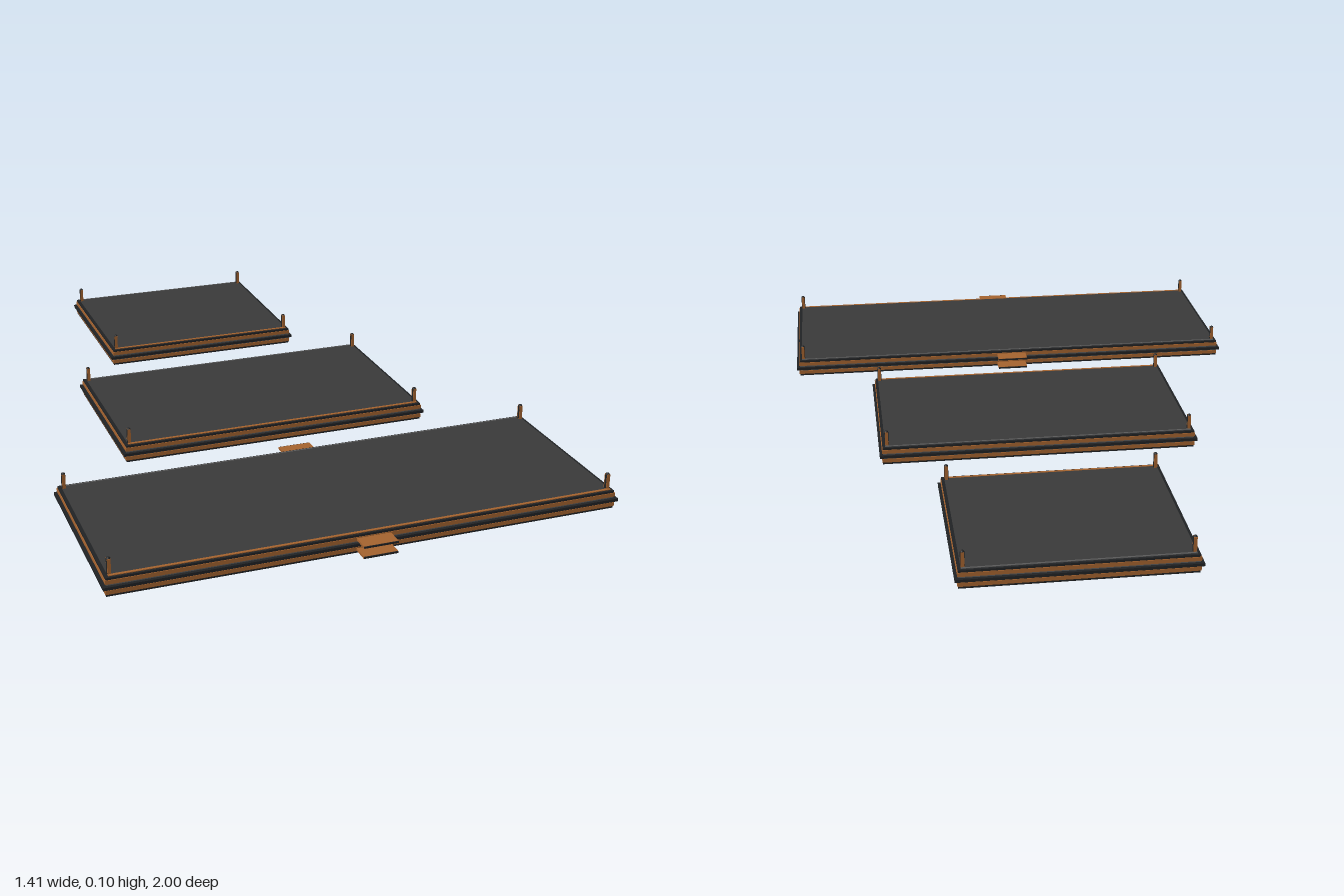
import * as THREE from 'three';

const mat = (name, color) => {
  const m = new THREE.MeshStandardMaterial({ color });
  m.name = name;
  return m;
};

export function createModel() {
  const slab = mat('charcoal', 0x3a3a3a);
  const dark = mat('near black', 0x202224);
  const copper = mat('copper', 0xa5632f);
  const grey = mat('mid grey', 0x5a5a5a);

  const box = (parent, name, material, size, pos) => {
    const mesh = new THREE.Mesh(new THREE.BoxGeometry(...size), material);
    mesh.name = name;
    mesh.position.set(...pos);
    parent.add(mesh);
    return mesh;
  };

  // Round-topped corner pin with copper contact faces
  const addPin = (parent, x, z) => {
    const pin = new THREE.Group();
    pin.name = 'cornerPin';
    pin.position.set(x, 0, z);
    const post = new THREE.Mesh(new THREE.CylinderGeometry(0.006, 0.006, 0.044, 12), dark);
    post.name = 'pinPost';
    post.position.y = 0.073;
    const tip = new THREE.Mesh(new THREE.SphereGeometry(0.006, 12, 6, 0, Math.PI * 2, 0, Math.PI / 2), dark);
    tip.name = 'pinTip';
    tip.position.y = 0.095;
    pin.add(post, tip);
    for (const s of [-1, 1]) box(pin, 'pinContact', copper, [0.009, 0.044, 0.002], [0, 0.075, s * 0.0055]);
    parent.add(pin);
  };

  // Layered panel: half width w, half depth d at the flange
  const addPanel = (name, w, d, zc) => {
    const panel = new THREE.Group();
    panel.name = name;
    panel.position.z = zc;
    box(panel, 'flange', dark, [2 * w, 0.008, 2 * d], [0, 0.029, 0]);
    box(panel, 'core', dark, [2 * w - 0.024, 0.048, 2 * d - 0.024], [0, 0.028, 0]);
    for (const s of [-1, 1]) {
      const y = 0.0285 + s * 0.0265;
      // Outer rim and the plate set into it
      box(panel, 'rim', dark, [2 * w - 0.018, 0.006, 2 * d - 0.018], [0, 0.0285 + s * 0.0225, 0]);
      box(panel, 'facePlate', slab, [2 * w - 0.034, 0.003, 2 * d - 0.034], [0, y - s * 0.0005, 0]);
      // Copper band round the sides, with a grey line next to the flange
      box(panel, 'copperBand', copper, [2 * w - 0.014, 0.011, 2 * d - 0.014], [0, 0.0285 + s * 0.014, 0]);
      box(panel, 'greyBand', grey, [2 * w - 0.018, 0.004, 2 * d - 0.018], [0, 0.0285 + s * 0.0065, 0]);
    }
    // Thin inlaid lines along the front and back of the top
    box(panel, 'frontInlay', copper, [2 * w - 0.034, 0.002, 0.008], [0, 0.0555, d - 0.019]);
    box(panel, 'backInlay', grey, [2 * w - 0.034, 0.002, 0.005], [0, 0.0555, -d + 0.018]);
    for (const sx of [-1, 1]) for (const sz of [-1, 1]) addPin(panel, sx * (w - 0.022), sz * (d - 0.028));
    return panel;
  };

  const model = new THREE.Group();
  model.name = 'panelSet';
  const large = addPanel('largePanel', 0.707, 0.268, 0.691);
  model.add(large, addPanel('mediumPanel', 0.467, 0.268, -0.009), addPanel('smallPanel', 0.315, 0.268, -0.732));

  // Paired connector tabs on the front and back of the large panel
  for (const s of [-1, 1]) {
    for (const y of [0.014, 0.043]) {
      box(large, 'connectorTab', copper, [0.094, 0.006, 0.058], [0, y, s * 0.278]);
      box(large, 'tabEnd', dark, [0.094, 0.005, 0.002], [0, y, s * 0.308]);
    }
  }
  return model;
}
